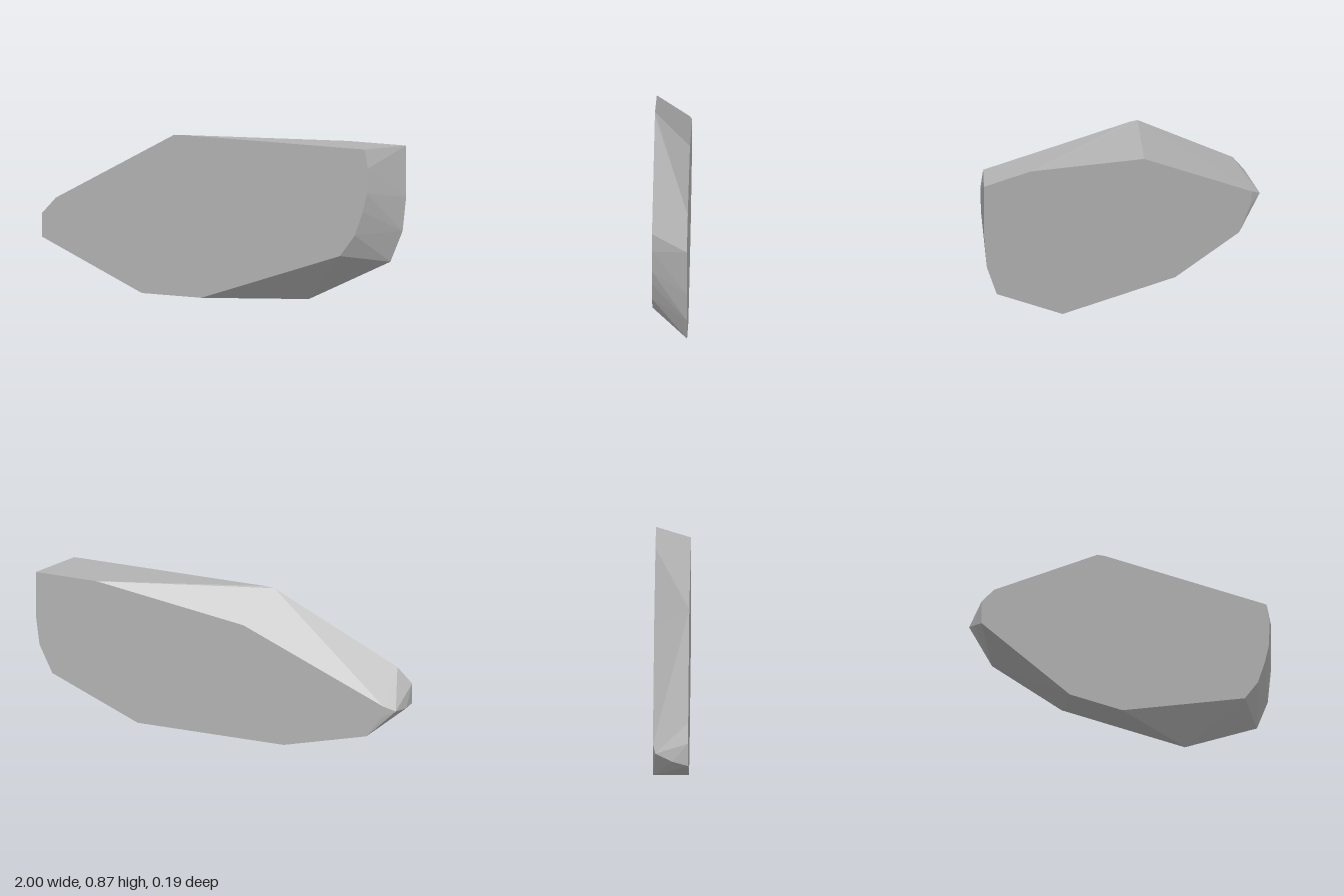
import * as THREE from 'three';
import { ConvexGeometry } from 'three/addons/geometries/ConvexGeometry.js';

// Outline of the flat front face, as x, y
const FRONT = [
  [-1, 0.26], [-1, 0.385], [-0.92, 0.475], [-0.25, 0.86], [-0.2, 0.865],
  [0.84, 0.865], [0.86, 0.765], [0.855, 0.63], [0.83, 0.53], [0.785, 0.4],
  [0.7, 0.283], [-0.09, 0], [-0.43, 0],
];

// Outline of the flat back face, shifted towards +x
const BACK = [
  [-0.8, 0.135], [-0.88, 0.267], [-0.892, 0.342], [-0.13, 0.726], [0.67, 0.865],
  [1, 0.865], [1, 0.59], [0.98, 0.405], [0.91, 0.235], [0.445, 0], [-0.35, 0],
];

// Chipped corners at the narrow tip, as x, y, z
const TIP = [[-0.957, 0.313, -0.08], [-0.99, 0.28, 0.01]];

const HALF_DEPTH = 0.093;

export function createModel() {
  const group = new THREE.Group();
  group.name = 'stoneSlab';

  const stone = new THREE.MeshStandardMaterial({ color: 0xb3b3b3 });
  stone.name = 'grey stone';

  // Faceted slab stretched between the two faces
  const points = [
    ...FRONT.map(([x, y]) => new THREE.Vector3(x, y, HALF_DEPTH)),
    ...BACK.map(([x, y]) => new THREE.Vector3(x, y, -HALF_DEPTH)),
    ...TIP.map((p) => new THREE.Vector3(...p)),
  ];
  const slab = new THREE.Mesh(new ConvexGeometry(points), stone);
  slab.name = 'slab';
  group.add(slab);

  return group;
}
